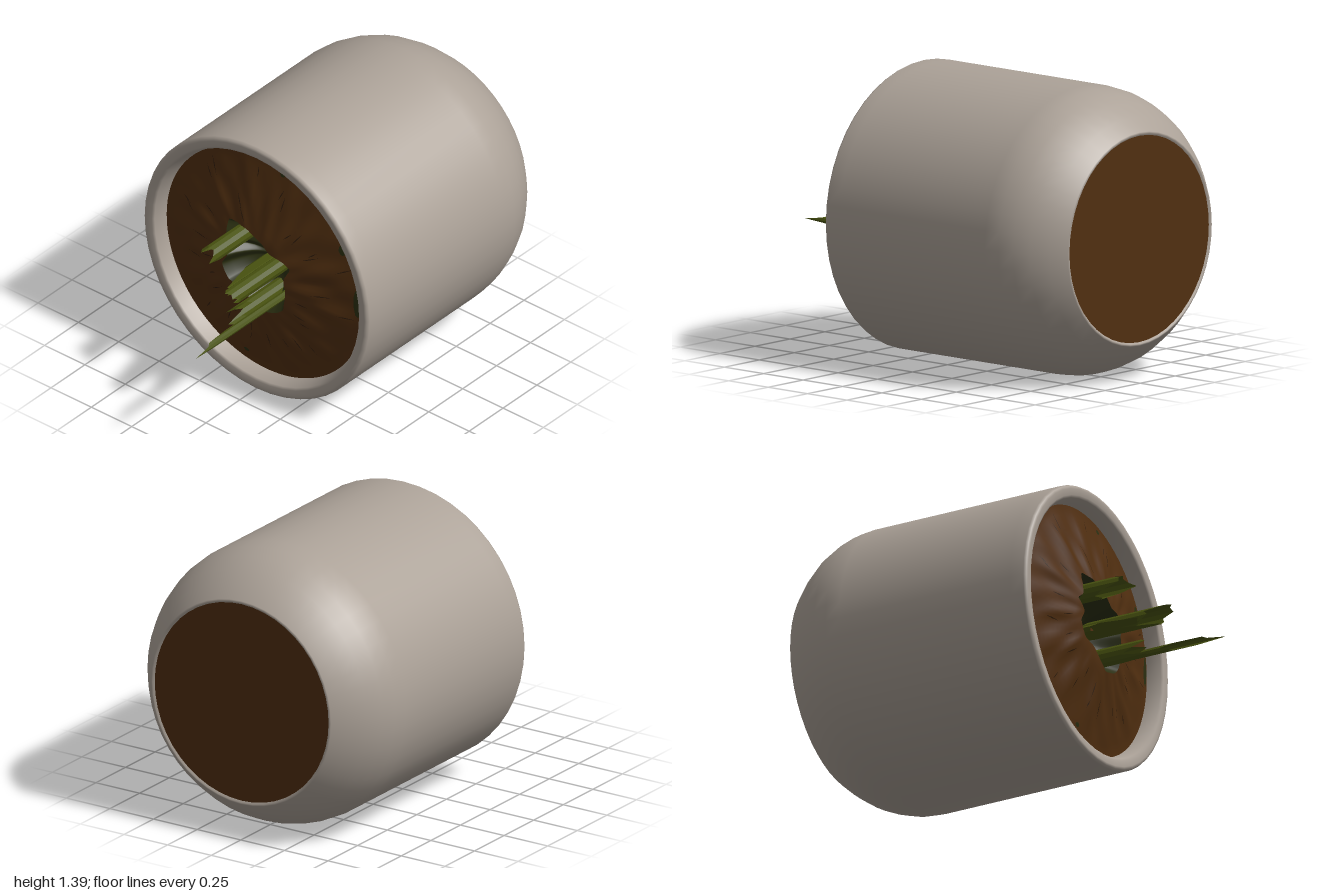
import * as THREE from 'three';

const CY = 0.7; // height of the pot's axis, which runs along z

function material(name, color, options = {}) {
  const m = new THREE.MeshStandardMaterial({ color, ...options });
  m.name = name;
  return m;
}

// small seeded generator for the scattered cracks
function seeded(seed) {
  return () => (seed = (seed * 16807) % 2147483647) / 2147483647;
}

// soil mounds up around the hole and sinks towards the pot wall
function soilZ(x, y) {
  const r = Math.hypot(x, y), a = Math.atan2(y, x);
  const f = THREE.MathUtils.clamp((r - 0.2) / 0.4, 0, 1);
  const ripple = Math.sin(a * 13 + r * 9) + 0.6 * Math.sin(a * 23 - r * 14);
  return 0.405 - 0.095 * f + 0.005 * ripple * f * (1 - f) * 4;
}

// surface between rows of points: at(t, s) with t round the loop and s outwards
function ringSurface(at, n, rings) {
  const pos = [], index = [];
  for (let i = 0; i < n; i++)
    for (let j = 0; j <= rings; j++) pos.push(...at(i / n, j / rings));
  const id = (i, j) => (i % n) * (rings + 1) + j;
  for (let i = 0; i < n; i++)
    for (let j = 0; j < rings; j++)
      index.push(id(i, j), id(i, j + 1), id(i + 1, j + 1), id(i, j), id(i + 1, j + 1), id(i + 1, j));
  const g = new THREE.BufferGeometry();
  g.setAttribute('position', new THREE.Float32BufferAttribute(pos, 3));
  g.setIndex(index);
  g.computeVertexNormals();
  return g;
}

export function createModel() {
  const clay = material('pale clay', 0xaca298, { side: THREE.DoubleSide });
  const earth = material('brown soil', 0x512f10);
  const crack = material('dark crack', 0x2e1b09);
  const moss = material('dark moss', 0x2b2f11);
  const stalk = material('olive stalk', 0x4a5410, { side: THREE.DoubleSide, flatShading: true });

  const group = new THREE.Group();
  const axis = new THREE.Group();
  axis.name = 'fallenPot';
  axis.position.y = CY;
  group.add(axis);
  const add = (name, geometry, mat, parent = axis) => {
    const mesh = new THREE.Mesh(geometry, mat);
    mesh.name = name;
    parent.add(mesh);
    return mesh;
  };

  // pot wall: rounded base at the back, lip and inner wall at the front
  const profile = [
    [0.49, -0.985], [0.505, -1], [0.515, -0.997], [0.575, -0.935], [0.63, -0.86],
    [0.665, -0.785], [0.687, -0.71], [0.695, -0.63], [0.695, 0.3], [0.695, 0.37],
    [0.688, 0.383], [0.675, 0.386], [0.645, 0.383], [0.633, 0.375], [0.615, 0.32], [0.605, 0.2],
  ].map(([r, z]) => new THREE.Vector2(r, z));
  add('potWall', new THREE.LatheGeometry(profile, 48).rotateX(Math.PI / 2), clay);

  // soil showing through the open base
  add('baseSoil', new THREE.CircleGeometry(0.506, 48).rotateY(Math.PI).translate(0, 0, -0.993), earth);

  // ragged edge of the hole, anticlockwise
  const edge = new THREE.CatmullRomCurve3([
    [0.2, -0.04], [0.19, 0.03], [0.22, 0.1], [0.16, 0.13], [0.1, 0.14], [0.05, 0.18],
    [-0.05, 0.22], [-0.16, 0.22], [-0.17, 0.11], [-0.21, 0.07], [-0.16, 0.02], [-0.19, -0.04],
    [-0.15, -0.11], [-0.07, -0.13], [0, -0.18], [0.05, -0.21], [0.13, -0.19], [0.18, -0.15],
  ].map(([x, y]) => new THREE.Vector3(x, y, 0)), true, 'catmullrom', 0.3);

  // mounded soil from the hole out to the wall
  add('soil', ringSurface((t, s) => {
    const p = edge.getPoint(t), a = Math.atan2(p.y, p.x);
    const x = THREE.MathUtils.lerp(p.x, 0.613 * Math.cos(a), s);
    const y = THREE.MathUtils.lerp(p.y, 0.613 * Math.sin(a), s);
    return [x, y, soilZ(x, y)];
  }, 108, 14), earth);

  // mossy hollow
  add('hollow', ringSurface((t, s) => {
    const p = edge.getPoint(t);
    const k = Math.max(s, 0.001);
    return [p.x * k, p.y * k, THREE.MathUtils.lerp(0.24, soilZ(p.x, p.y), s ** 2.5)];
  }, 108, 8), moss);

  // thin patch laid on the soil
  const patch = (name, x, y, a, b, turn, sides, mat) => {
    const g = new THREE.CircleGeometry(1, sides).scale(a, b, 1).rotateZ(turn).translate(x, y, 0);
    const p = g.attributes.position;
    for (let i = 0; i < p.count; i++) p.setZ(i, soilZ(p.getX(i), p.getY(i)) + 0.006);
    g.computeVertexNormals();
    add(name, g, mat);
  };

  // radial cracks
  const random = seeded(41);
  for (let i = 0; i < 34; i++) {
    const a = (i + random()) / 34 * Math.PI * 2, r = 0.29 + 0.25 * random();
    patch('crack', r * Math.cos(a), r * Math.sin(a), 0.025 + 0.03 * random(), 0.003,
      a + (random() - 0.5) * 0.5, 4, crack);
  }

  // moss spots near the wall
  for (const [x, y, a, b] of [[0.577, 0.02, 0.022, 0.08], [0.485, 0.29, 0.02, 0.03],
    [0.115, 0.56, 0.014, 0.012], [-0.1, -0.535, 0.016, 0.011]])
    patch('mossSpot', x, y, a, b, 0, 9, moss);

  // broken hollow stalks: centre, radii, and the heights of the torn end
  const stalks = [
    [-0.12, 0.13, 0.045, 0.045, [0.64, 0.6, 0.58, 0.59, 0.56, 0.59, 0.59, 0.5, 0.45, 0.48, 0.46, 0.55]],
    [0.102, 0.043, 0.043, 0.043, [0.66, 0.72, 0.71, 0.73, 0.7, 0.6, 0.62, 0.58, 0.55, 0.67, 0.66, 0.67]],
    [0.058, -0.135, 0.042, 0.045, [0.55, 0.6, 0.5, 0.52, 0.6, 0.63, 0.56, 0.5, 0.63, 0.6, 0.48, 0.5]],
    [0.128, -0.125, 0.02, 0.018, [1.0, 0.9, 0.88, 0.74, 0.66, 0.7, 0.72, 0.85]],
    [0.005, -0.015, 0.065, 0.022, [0.5, 0.57, 0.6, 0.42, 0.38, 0.37, 0.6, 0.55]],
  ];
  for (const [x, y, rx, ry, tips] of stalks) {
    const one = new THREE.Group();
    one.name = 'stalk';
    one.position.set(x, y, 0);
    axis.add(one);
    const n = tips.length;
    const g = new THREE.CylinderGeometry(1, 1, 1, n, 1, true).rotateX(Math.PI / 2).scale(rx, ry, 1);
    const p = g.attributes.position;
    for (let i = 0; i < p.count; i++) {
      const a = Math.atan2(p.getY(i) / ry, p.getX(i) / rx);
      const k = (Math.round(a / (Math.PI * 2) * n) + n) % n;
      p.setZ(i, p.getZ(i) > 0 ? tips[k] : 0.22);
    }
    g.computeVertexNormals();
    add('stalkWall', g, stalk, one);
    add('stalkCore', new THREE.CircleGeometry(1, n).scale(rx, ry, 1).translate(0, 0, 0.35), earth, one);
  }
  return group;
}
